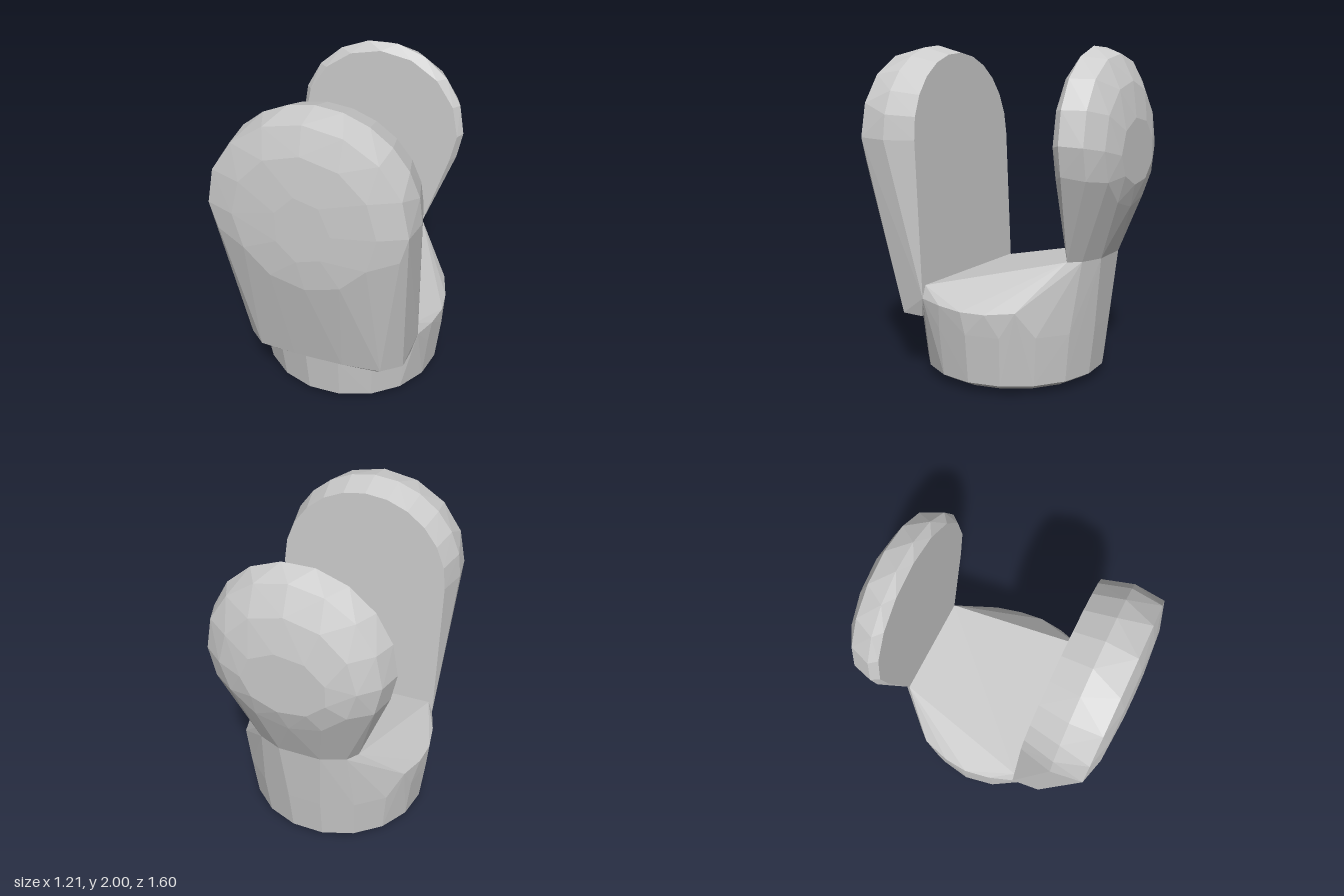
import * as THREE from 'three';
import { ConvexGeometry } from 'three/addons/geometries/ConvexGeometry.js';

const V = (x, y, z) => new THREE.Vector3(x, y, z);
const both = (x, y, z) => [V(x, y, z), V(-x, y, z)];

// Points on an elliptical arc; fn maps (cos, sin) to a position
function arc(n, from, to, fn) {
  const points = [];
  for (let i = 0; i <= n; i++) {
    const a = from + (to - from) * (i / n);
    points.push(fn(Math.cos(a), Math.sin(a)));
  }
  return points;
}

const level = (y, rx, rz, n = 18, zc = -0.01) =>
  arc(n, 0, Math.PI * 2, (c, s) => V(rx * c, y, zc + rz * s));

// Upright slice whose upper and lower halves may differ in height
const slice = (z, cy, rx, up, down, n = 16) =>
  arc(n, 0, Math.PI * 2, (c, s) => V(rx * c, cy + (s > 0 ? up : down) * s, z));

// Upper half only, on a plane that leans with height
const arch = (z, lean, cy, rx, ry, n = 12) =>
  arc(n, 0, Math.PI, (c, s) => V(rx * c, cy + ry * s, z + lean * (cy + ry * s - 1.95)));

export function createModel() {
  const group = new THREE.Group();
  const material = new THREE.MeshStandardMaterial({ color: 0xcccccc, flatShading: true });
  const add = (name, points) => {
    const mesh = new THREE.Mesh(new ConvexGeometry(points), material);
    mesh.name = name;
    group.add(mesh);
  };

  // Round seat block with a chamfered foot and a top sloping up to the back
  add('base', [
    ...level(0, 0.42, 0.4),
    ...level(0.02, 0.5, 0.49),
    ...level(0.06, 0.57, 0.555),
    ...level(0.35, 0.6, 0.59),
    ...both(0.53, 0.5, 0.33), ...both(0.58, 0.49, 0.18), ...both(0.605, 0.48, 0.02),
    ...both(0.59, 0.48, -0.13), ...both(0.54, 0.5, -0.3),
    ...both(0.5, 0.575, 0.33),
    ...both(0.32, 0.77, -0.51), ...both(0.27, 0.77, -0.58), ...both(0.13, 0.77, -0.635),
  ]);

  // Tall front pad with a domed face and a flat, slightly leaning inner side
  add('frontPad', [
    ...arch(0.39, 0.0414, 1.43, 0.53, 0.52),
    ...arch(0.56, 0, 1.43, 0.575, 0.57),
    ...slice(0.74, 1.44, 0.555, 0.53, 0.4),
    ...slice(0.782, 1.42, 0.4, 0.4, 0.4, 12),
    ...slice(0.8, 1.4, 0.16, 0.2, 0.2, 7),
    ...both(0.53, 0.5, 0.33), ...both(0.5, 0.38, 0.36),
    ...both(0.49, 0.38, 0.5), ...both(0.35, 0.345, 0.56),
    ...both(0.38, 0.39, 0.6), ...both(0.14, 0.35, 0.57), ...both(0.15, 0.39, 0.62),
  ]);

  // Teardrop back pad: flat inside, rounded outside, narrow at the neck
  add('backPad', [
    ...slice(-0.51, 1.42, 0.51, 0.5, 0.45),
    ...slice(-0.555, 1.43, 0.54, 0.54, 0.48, 18),
    ...slice(-0.68, 1.42, 0.5, 0.5, 0.46),
    ...slice(-0.755, 1.4, 0.39, 0.37, 0.34, 12),
    ...slice(-0.795, 1.37, 0.25, 0.2, 0.18, 9),
    ...both(0.32, 0.77, -0.51), ...both(0.27, 0.77, -0.58), ...both(0.13, 0.77, -0.635),
  ]);

  return group;
}
